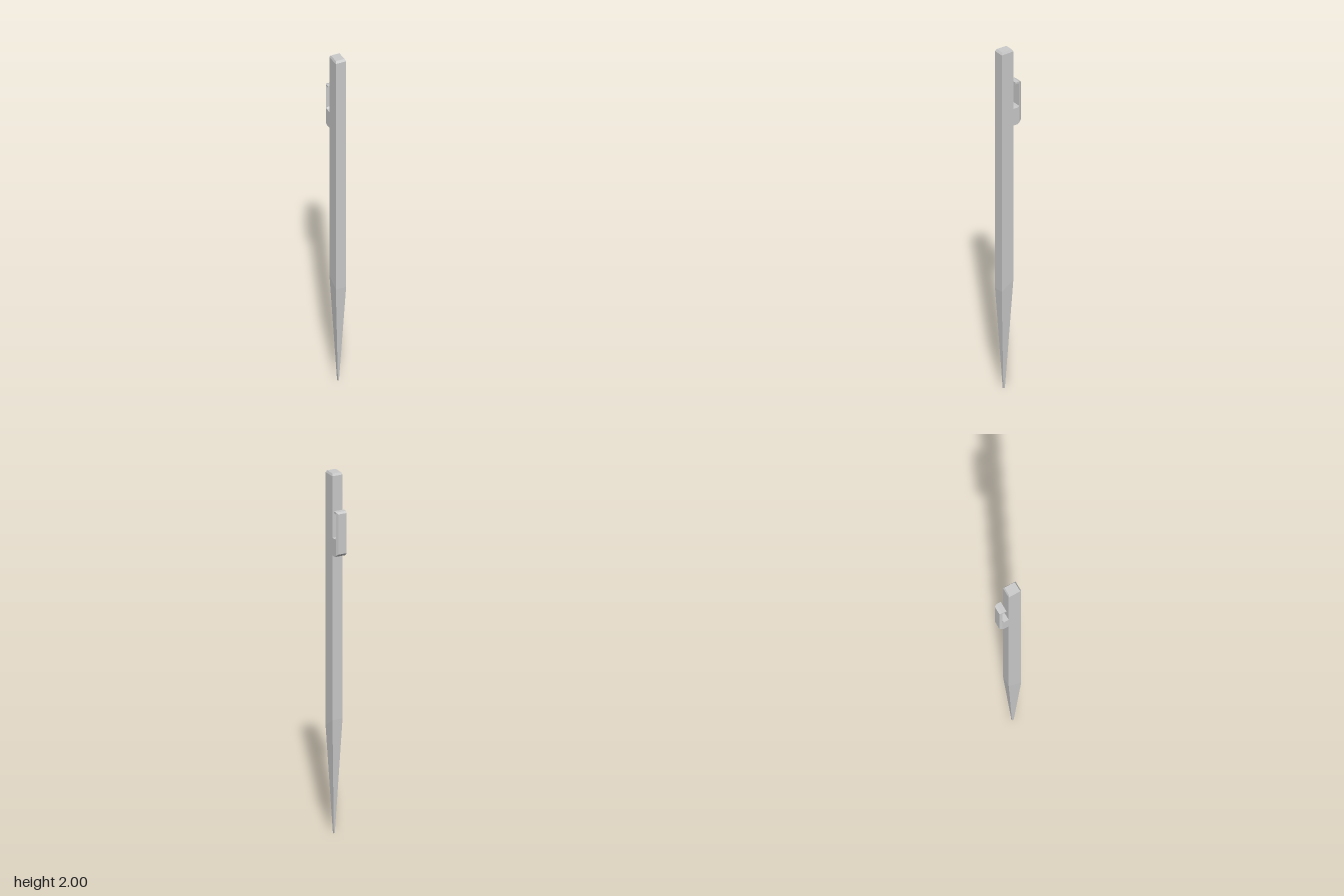
import * as THREE from 'three';

const material = new THREE.MeshStandardMaterial({ color: 0xcccccc, flatShading: true });

// Skin a list of four-cornered rings and close both ends.
// Corners run anticlockwise when seen from the last ring's end.
function loft(rings) {
  const pos = [];
  const quad = (a, b, c, d) => pos.push(...a, ...b, ...c, ...a, ...c, ...d);
  for (let r = 0; r < rings.length - 1; r++) {
    for (let i = 0; i < 4; i++) {
      const j = (i + 1) % 4;
      quad(rings[r][i], rings[r][j], rings[r + 1][j], rings[r + 1][i]);
    }
  }
  quad(...[...rings[0]].reverse());
  quad(...rings[rings.length - 1]);
  const geometry = new THREE.BufferGeometry();
  geometry.setAttribute('position', new THREE.Float32BufferAttribute(pos, 3));
  geometry.computeVertexNormals();
  return geometry;
}

// Ring across the body; front and back edges may sit at different heights
const bodyRing = (w, front, back, yFront, yBack = yFront) => [
  [-w, yFront, front], [w, yFront, front], [w, yBack, back], [-w, yBack, back],
];

// Upright ring used for the clip's outer plate
const plateRing = (w, low, high, z) => [
  [w, low, z], [-w, low, z], [-w, high, z], [w, high, z],
];

export function createModel() {
  const group = new THREE.Group();
  const add = (name, geometry, parent = group) => {
    const mesh = new THREE.Mesh(geometry, material);
    mesh.name = name;
    parent.add(mesh);
    return mesh;
  };

  // Long square shaft with tapered point and bevelled top
  add('shaft', loft([
    bodyRing(0.003, 0.034, 0.024, 0),
    bodyRing(0.03, 0.064, -0.011, 0.59, 0.64),
    bodyRing(0.03, 0.064, -0.011, 1.988),
    bodyRing(0.025, 0.056, -0.005, 2),
  ]));

  const clip = new THREE.Group();
  clip.name = 'clip';
  group.add(clip);

  // Bridge joining the clip to the shaft, profile drawn as (-z, y)
  const profile = new THREE.Shape();
  profile.moveTo(0.009, 1.55);
  profile.lineTo(0.038, 1.55);
  profile.lineTo(0.048, 1.557);
  profile.lineTo(0.048, 1.656);
  profile.lineTo(0.041, 1.648);
  profile.lineTo(0.009, 1.648);
  const bridge = new THREE.ExtrudeGeometry(profile, { depth: 0.06, bevelEnabled: false });
  bridge.translate(0, 0, -0.03).rotateY(Math.PI / 2);
  add('clipBridge', bridge, clip);

  // Outer plate with chamfered edges
  add('clipPlate', loft([
    plateRing(0.03, 1.557, 1.799, -0.048),
    plateRing(0.03, 1.559, 1.799, -0.05),
    plateRing(0.024, 1.57, 1.792, -0.064),
  ]), clip);

  // Thin lip at the top, turned back toward the shaft
  const lip = new THREE.BoxGeometry(0.06, 0.01, 0.024);
  lip.translate(0, 1.794, -0.037);
  add('clipLip', lip, clip);

  return group;
}
